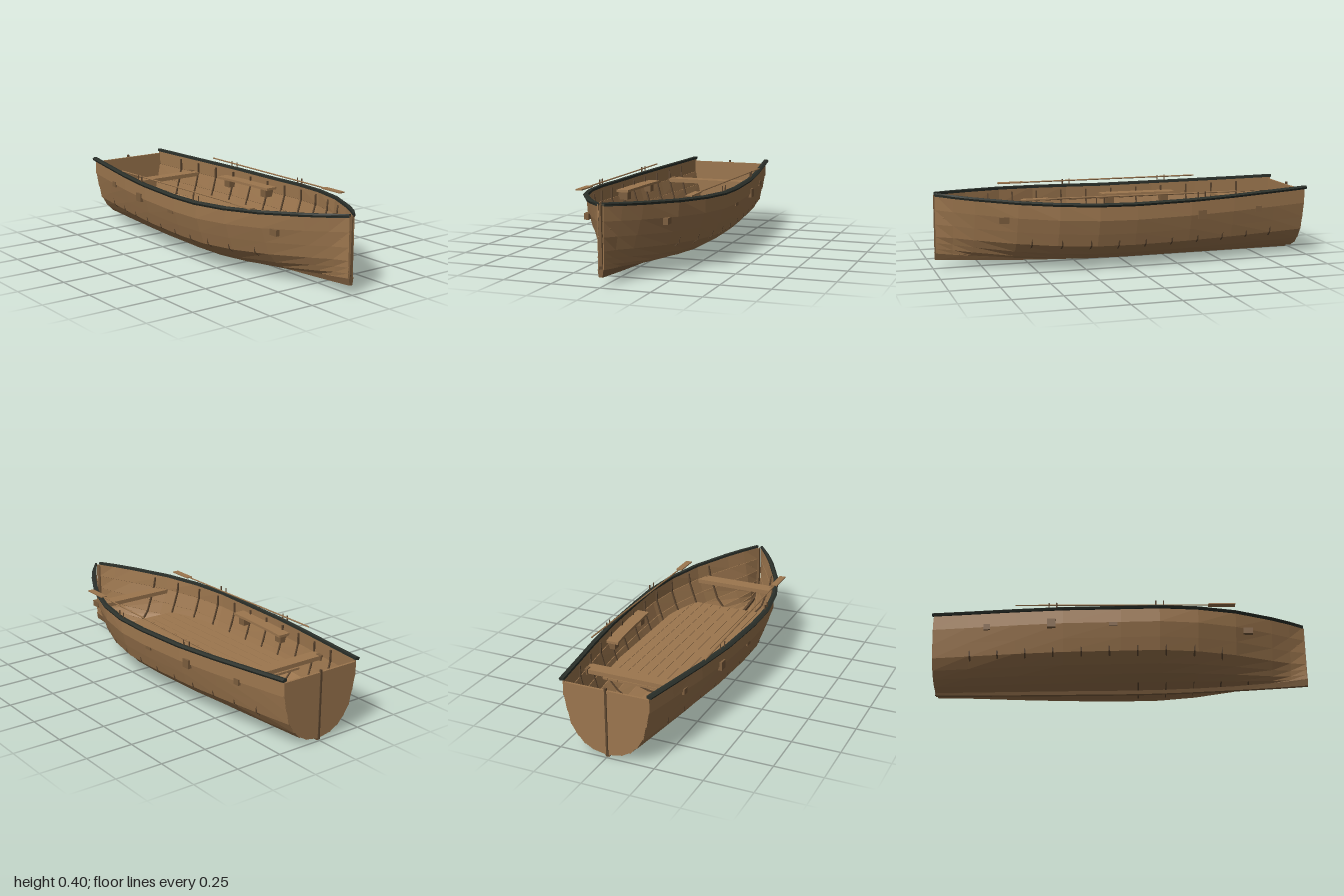
import * as THREE from 'three';

const mat = (name, color) => new THREE.MeshStandardMaterial({ name, color, side: THREE.DoubleSide });

// Hull lines: midship section from sheer to keel, and breadth factor along z
const SECTION = [[0.342, 0.345], [0.34, 0.265], [0.315, 0.19], [0.29, 0.125], [0.235, 0.075], [0.18, 0.045], [0.11, 0.026], [0.016, 0.02]];
const BREADTH = [[-0.99, 0.66], [-0.8, 0.75], [-0.55, 0.865], [-0.3, 0.955], [0, 1], [0.2, 1], [0.4, 0.91], [0.6, 0.72], [0.8, 0.41], [0.9, 0.225], [0.985, 0.05]];
const ROWS = SECTION.length - 1;

function lerpTable(table, v) {
  let i = 1;
  while (i < table.length - 1 && v > table[i][0]) i++;
  const [a, b] = [table[i - 1], table[i]];
  const t = THREE.MathUtils.clamp((v - a[0]) / (b[0] - a[0]), 0, 1);
  return a[1] + (b[1] - a[1]) * t;
}

// Point [x, y] on the hull at row k and station z: fine bow, full rounded stern
function hull(k, z) {
  const power = 1 + (z > 0 ? 0.5 : 0.05) * Math.min(k / 4, 1);
  const x = Math.max(0.015, SECTION[k][0] * Math.pow(lerpTable(BREADTH, z), power));
  const t = Math.abs(z) / 0.99;
  const rise = z > 0
    ? 0.045 * Math.pow(t, 1.6) + (k > 3 ? 0.018 * Math.pow(t, 4) : 0)
    : (0.024 - 0.032 * k / ROWS) * Math.pow(t, 1.6);
  return [x, SECTION[k][1] + rise];
}

// Half breadth inside the hull at height y and station z
function halfWidth(y, z) {
  const table = SECTION.map((_, k) => hull(k, z)).map(([x, h]) => [h, x]).reverse();
  return lerpTable(table, y);
}

// Closed solid through a row of matching cross-sections
function loft(sections) {
  const n = sections[0].length, index = [];
  for (let i = 0; i < sections.length - 1; i++) {
    for (let j = 0; j < n; j++) {
      const a = i * n + j, b = i * n + (j + 1) % n;
      index.push(a, b, a + n, b, b + n, a + n);
    }
  }
  const last = (sections.length - 1) * n;
  for (let j = 1; j < n - 1; j++) index.push(0, j + 1, j, last, last + j, last + j + 1);
  const geo = new THREE.BufferGeometry();
  geo.setAttribute('position', new THREE.Float32BufferAttribute(sections.flat(2), 3));
  geo.setIndex(index);
  const flat = geo.toNonIndexed();
  flat.computeVertexNormals();
  return flat;
}

const range = (a, b, n) => Array.from({ length: n + 1 }, (_, i) => a + (b - a) * i / n);
const rect = (x0, x1, y0, y1, z) => [[x0, y0, z], [x1, y0, z], [x1, y1, z], [x0, y1, z]];

export function createModel() {
  const boat = new THREE.Group();
  boat.name = 'rowingBoat';
  const wood = mat('plankWood', 0x9c764e);
  const blockWood = mat('blockWood', 0x7d5e3e);
  const frameWood = mat('frameWood', 0x5e4730);
  const railPaint = mat('railPaint', 0x2b302a);

  const add = (name, geo, material) => {
    const mesh = new THREE.Mesh(geo, material);
    mesh.name = name;
    boat.add(mesh);
    return mesh;
  };
  const box = (name, material, w, h, d, x, y, z) =>
    add(name, new THREE.BoxGeometry(w, h, d), material).position.set(x, y, z);

  const stations = BREADTH.map((b) => b[0]);

  for (const s of [1, -1]) {
    const side = s > 0 ? 'left' : 'right';

    // Overlapping hull planks, each lower edge standing proud of the next
    for (let k = 0; k < ROWS; k++) {
      add(side + 'Strake' + (k + 1), loft(stations.map((z) => {
        const [x0, y0] = hull(k, z), [x1, y1] = hull(k + 1, z);
        const lap = k < 6 ? 0.004 * Math.min(1, x1 / 0.1) : 0;
        return [[s * x0, y0, z], [s * (x1 + lap), y1 - lap * 0.6, z],
          [s * Math.max(0.01, x1 - 0.004), y1 + 0.002, z], [s * Math.max(0.01, x0 - 0.007), y0 + 0.001, z]];
      })), wood);
    }

    // Painted gunwale, tapering to the stem
    add(side + 'Rail', loft(stations.map((z, i) => {
      const [x, y] = hull(0, z);
      const taper = Math.min(1, x / 0.09);
      const inner = Math.max(0.003, x - 0.01), zz = i === 0 ? -0.997 : z;
      return [[s * inner, y - 0.006, zz], [s * inner, y + 0.007, zz], [s * (x + 0.006 * taper), y + 0.009, zz],
        [s * (x + 0.018 * taper), y + 0.001, zz], [s * (x + 0.012 * taper), y - 0.01, zz]];
    })), railPaint);

    // Ribs, deeper at both ends
    range(-0.79, 0.67, 10).forEach((z, i) => {
      const depth = i % 10 === 0 ? 0.016 : 0.01;
      add(side + 'Rib', loft(SECTION.map((_, k) => {
        const [x, y] = hull(k, z);
        const out = k === 3 && z < 0.6 ? 0.007 : -0.004;
        const lift = depth * k / ROWS, top = k === 0 ? -0.02 : 0;
        const inX = Math.max(0.002, x - 0.015 + 0.01 * k / ROWS);
        return [[s * (x + out), y + top, z - 0.004], [s * (x + out), y + top, z + 0.004],
          [s * inX, y + lift + top, z + 0.004], [s * inX, y + lift + top, z - 0.004]];
      })), frameWood);
    });

    // Side bench on brackets reaching through the planking
    add(side + 'Bench', loft(range(-0.41, 0.01, 5).map((z) => {
      const w = halfWidth(0.29, z);
      return rect(s * (w - 0.073), s * (w - 0.006), 0.29, 0.303, z);
    })), wood);
    box(side + 'BenchBracket', blockWood, 0.06, 0.046, 0.045, s * 0.301, 0.268, -0.36);
    box(side + 'BenchBracket', blockWood, 0.06, 0.042, 0.045, s * 0.31, 0.266, -0.04);

    // Thwart end blocks
    box(side + 'FrontThwartBlock', blockWood, 0.024, 0.032, 0.05, s * 0.207, 0.272, 0.665);
    box(side + 'RearThwartBlock', blockWood, 0.03, 0.03, 0.035, s * 0.264, 0.273, -0.7);

    // Paired rowlock pins
    for (const z of [0.18, 0.22, -0.335, -0.375]) {
      const pin = add(side + 'RowlockPin', new THREE.CylinderGeometry(0.0035, 0.0035, 0.042, 6), frameWood);
      const [x, y] = hull(0, z);
      pin.position.set(s * (x + 0.001), y + 0.016, z);
    }

    // Oar: flat blade and thin shaft
    box(side + 'OarBlade', wood, 0.034, 0.006, 0.14, s * 0.29, 0.386, 0.525);
    const shaft = new THREE.LineCurve3(new THREE.Vector3(s * 0.292, 0.385, 0.46), new THREE.Vector3(s * 0.312, 0.379, -0.55));
    add(side + 'OarShaft', new THREE.TubeGeometry(shaft, 1, 0.004, 6), wood);
  }

  // Floorboards trimmed to the hull
  const floorY = 0.17, pitch = 0.056;
  for (let i = 0; i < 10; i++) {
    const x0 = (i - 5) * pitch + 0.001, x1 = x0 + pitch - 0.002;
    add('floorboard', loft(range(-0.555, 0.53, 14).map((z) => {
      const w = halfWidth(floorY, z) - 0.008;
      const clip = (x) => THREE.MathUtils.clamp(x, -w, w);
      return rect(clip(x0), clip(x1), floorY - 0.012, floorY, z);
    })), wood);
  }

  // Cross thwarts
  for (const [name, z0, z1, y] of [['frontThwart', 0.59, 0.665, 0.288], ['rearThwart', -0.71, -0.64, 0.284]]) {
    add(name, loft([z0, z1].map((z) => {
      const w = halfWidth(y, z) - 0.006;
      return rect(-w, w, y - 0.022, y, z);
    })), wood);
  }

  // Keel and keelson
  const keelZ = range(-0.99, 0.99, 12);
  add('keel', loft(keelZ.map((z) => {
    const y = hull(ROWS, z)[1];
    const base = z > 0 ? 0.002 + 0.045 * Math.pow(z / 0.99, 1.6) : Math.max(0, y - 0.018);
    return [[-0.009, base, z], [0.009, base, z], [0.015, y + 0.002, z], [-0.015, y + 0.002, z]];
  })), blockWood);
  add('keelson', loft(keelZ.map((z) => {
    const y = hull(ROWS, z)[1];
    return rect(-0.007, 0.007, y, y + 0.016, z);
  })), frameWood);

  // Tapered stem and straight sternpost
  add('stem', loft([[0.06, 0.01], [0.2, 0.007], [0.385, 0.003]].map(([y, w]) =>
    [[-w, y, 0.965], [w, y, 0.965], [w, y, 0.99], [-w, y, 0.99]])), blockWood);
  box('sternpost', frameWood, 0.01, 0.36, 0.012, 0, 0.185, -0.99);

  // Flat transom following the last section
  const edge = SECTION.map((_, k) => hull(k, -0.985));
  edge[0][1] = 0.352;
  const outline = [...edge, ...edge.map(([x, y]) => [-x, y]).reverse()].map(([x, y]) => new THREE.Vector2(x, y));
  const transom = add('transom', new THREE.ExtrudeGeometry(new THREE.Shape(outline), { depth: 0.012, bevelEnabled: false }), wood);
  transom.position.z = -0.991;

  return boat;
}
